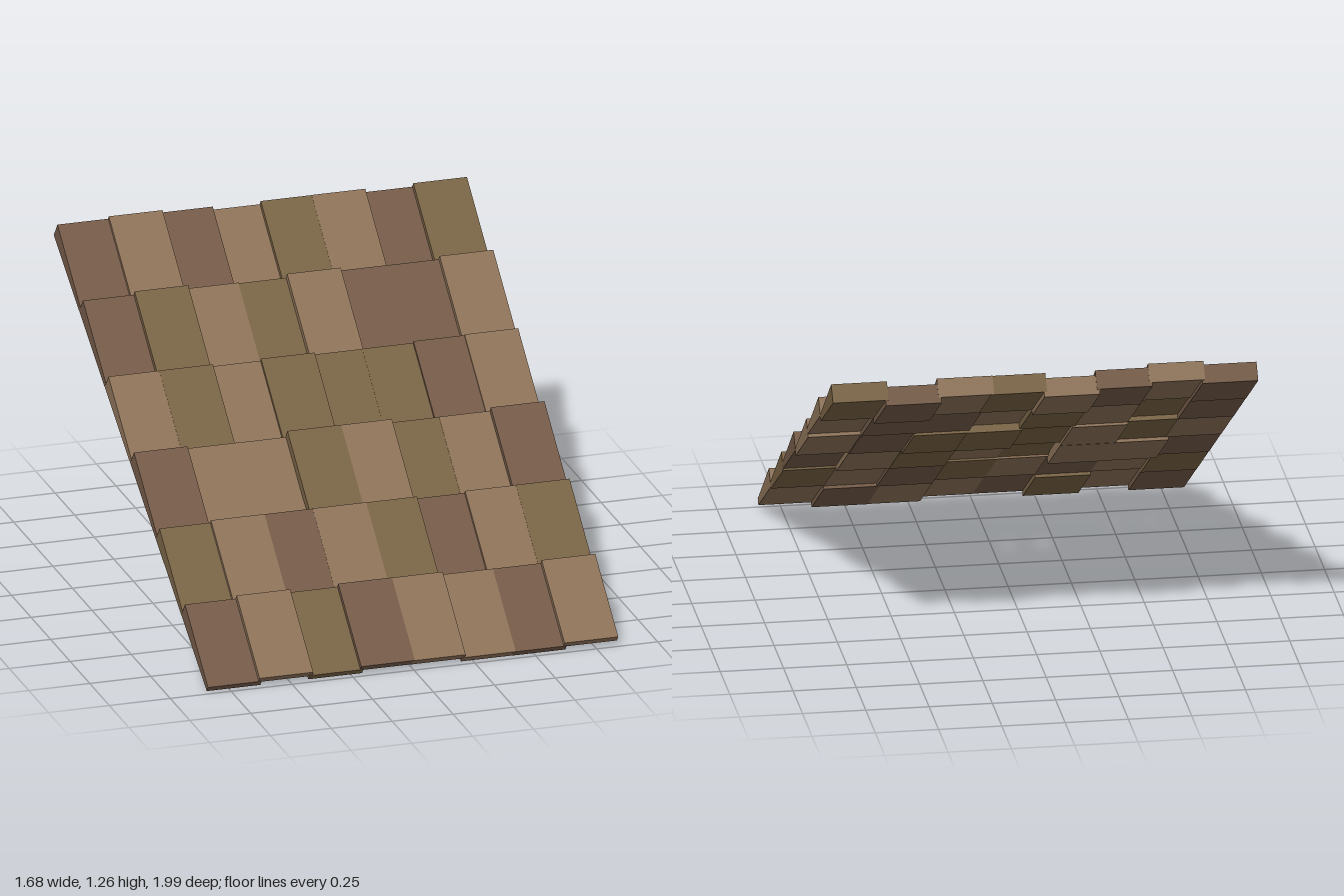
import * as THREE from 'three';

// Wedge shingle cross-section as (z, y): thin lower end, thick upper end
const PROFILE = [[0.968, 0], [0.984, 0.021], [0.69, 0.26], [0.643, 0.199]];
const WIDTH = 0.22, PITCH = 0.2086, LEFT = -0.84;
const ROW_RISE = 0.198, ROW_RUN = 0.326;

const COLORS = { L: 0x8b7158, R: 0x735a48, O: 0x786345 };

// Shade of each shingle, lowest course first
const SHADES = ['RLORLLRL', 'OLRLORLO', 'RLLOLOLR', 'LOLOOORL', 'ROLOLRRL', 'RLRLOLRO'];

// Uneven lift of each shingle off the slope, in thousandths
const LIFTS = [
  [0, 16, 0, 16, 16, 0, 0, 16],
  [0, 12, 12, 12, 12, 0, 12, 12],
  [0, -12, -12, 20, 20, 0, 2, 20],
  [0, 0, -10, 0, -10, -10, 0, 4],
  [0, 17, 0, -5, 17, 0, 0, 17],
  [0, 12, 0, -18, 0, 0, -18, 0],
];

function shingleGeometry() {
  const shape = new THREE.Shape(PROFILE.map(([z, y]) => new THREE.Vector2(-z, y)));
  const geometry = new THREE.ExtrudeGeometry(shape, { depth: WIDTH, bevelEnabled: false });
  return geometry.rotateY(Math.PI / 2); // extrusion runs along x
}

export function createModel() {
  const roof = new THREE.Group();
  roof.name = 'shingleRoof';
  const geometry = shingleGeometry();
  const materials = {};
  for (const key in COLORS) {
    materials[key] = new THREE.MeshStandardMaterial({ color: COLORS[key], flatShading: true });
  }

  // Courses climb the slope from front to back
  SHADES.forEach((shades, row) => {
    const course = new THREE.Group();
    course.name = `course${row + 1}`;
    course.position.set(0, row * ROW_RISE, -row * ROW_RUN);
    [...shades].forEach((shade, col) => {
      const lift = LIFTS[row][col] / 1000 + (col % 2) * 0.0008; // keeps overlapping neighbours apart
      const shingle = new THREE.Mesh(geometry, materials[shade]);
      shingle.name = `shingle${row + 1}_${col + 1}`;
      shingle.position.set(LEFT + col * PITCH, lift, lift * 0.6);
      course.add(shingle);
    });
    roof.add(course);
  });
  return roof;
}
